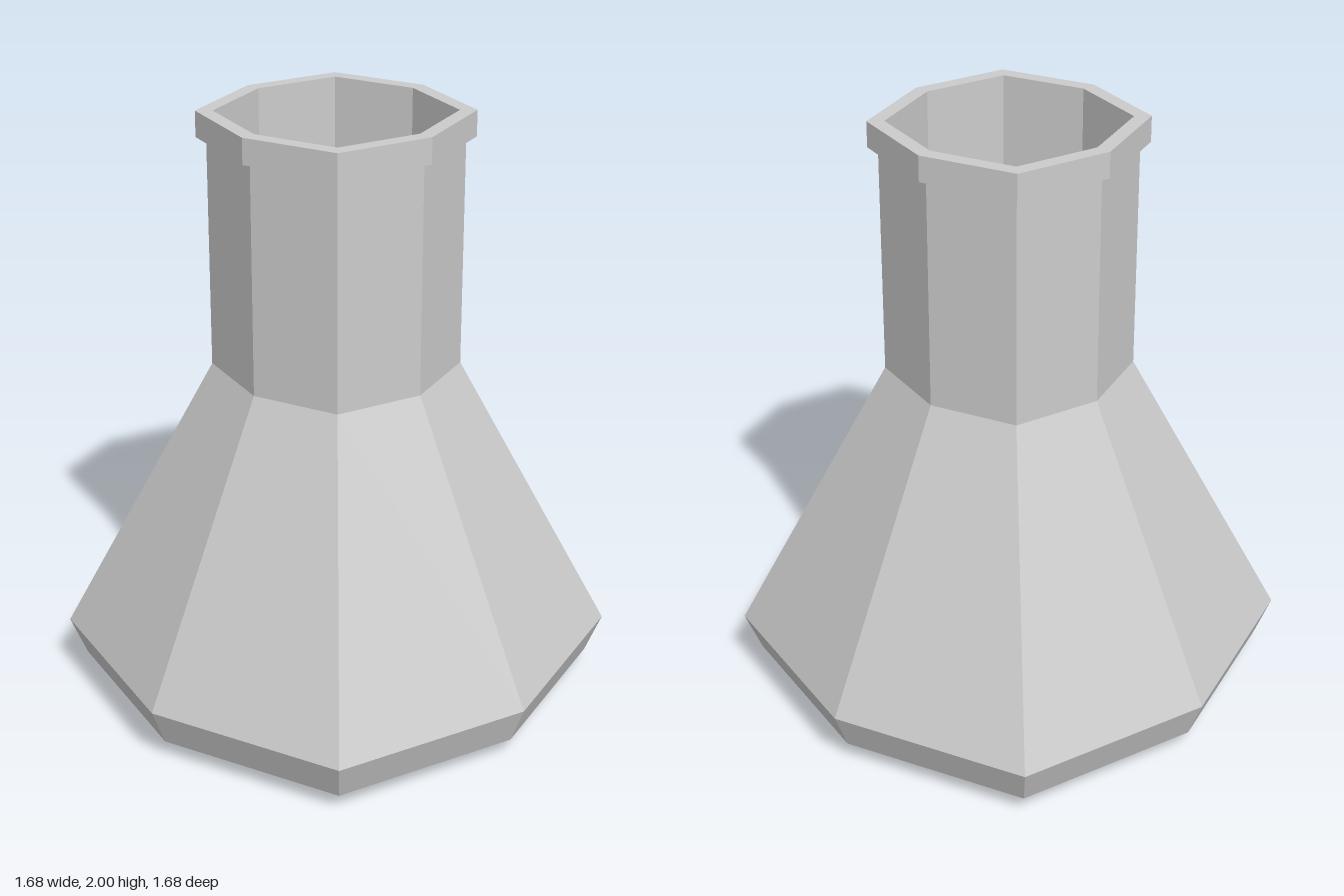
import * as THREE from 'three';

// Eight-sided lathe whose diagonal corners are pushed outward (a squarish octagon)
function octagonLathe(name, profile) {
  const points = profile.map(([r, y]) => new THREE.Vector2(r, y));
  const geometry = new THREE.LatheGeometry(points, 8);
  const pos = geometry.attributes.position;
  const diagonalStretch = 0.773 * Math.SQRT2;
  for (let i = 0; i < pos.count; i++) {
    const x = pos.getX(i), z = pos.getZ(i);
    if (Math.abs(x) > 0.01 && Math.abs(z) > 0.01) {
      pos.setX(i, x * diagonalStretch);
      pos.setZ(i, z * diagonalStretch);
    }
  }
  geometry.computeVertexNormals();
  const material = new THREE.MeshStandardMaterial({ color: 0xcccccc, flatShading: true });
  const mesh = new THREE.Mesh(geometry, material);
  mesh.name = name;
  return mesh;
}

export function createModel() {
  const flask = new THREE.Group();
  flask.name = 'flask';

  // Outer shell: flat base, chamfered foot, sloping body, straight neck
  flask.add(octagonLathe('outerShell', [
    [0, 0], [0.65, 0], [0.79, 0.06], [0.84, 0.19], [0.37, 1.15], [0.37, 1.915],
  ]));

  // Lip around the mouth
  flask.add(octagonLathe('rim', [
    [0.37, 1.915], [0.4, 1.915], [0.4, 2], [0.35, 2],
  ]));

  // Hollow inside, from the mouth down to the floor
  flask.add(octagonLathe('innerShell', [
    [0.35, 2], [0.35, 1.15], [0.81, 0.2], [0.77, 0.08], [0.64, 0.03], [0, 0.03],
  ]));

  return flask;
}
